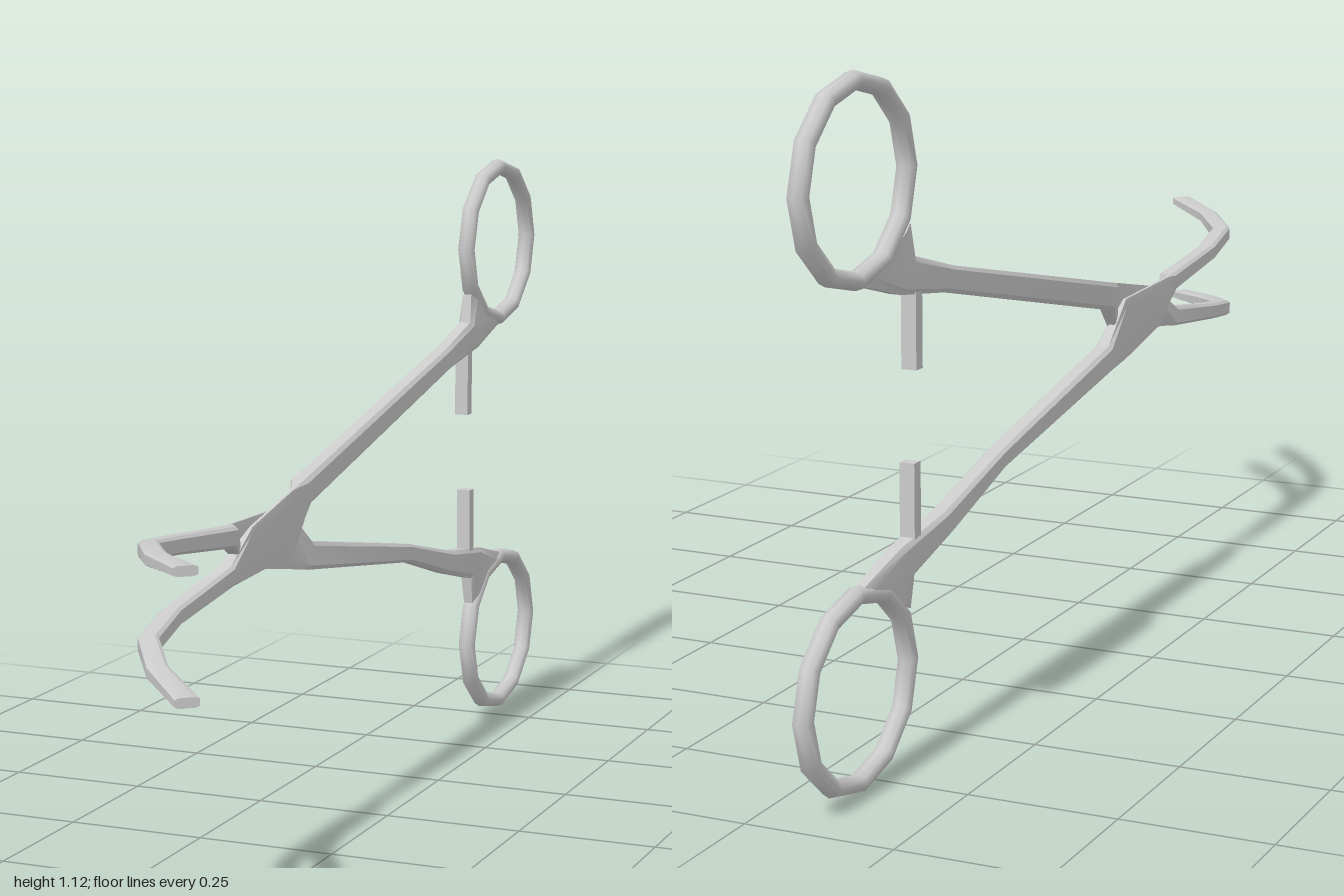
import * as THREE from 'three';
import { toCreasedNormals } from 'three/addons/utils/BufferGeometryUtils.js';

const material = new THREE.MeshStandardMaterial({ color: 0xcccccc, side: THREE.DoubleSide });

// Reflection between the two halves, about a very slightly tilted centre line
const mirrorY = (y, z) => 1.116 - 0.011 * z - y;

// Chamfered bar outline, counter-clockwise seen from +z (u across, v up)
const OUTLINE = [
  [-0.65, -1], [0.65, -1], [1, -0.7], [1, 0.7],
  [0.65, 1], [-0.65, 1], [-1, 0.7], [-1, -0.7],
];

// Sections from handle to jaw tip:
// [top z, top y, bottom z, bottom y, centre x, half width, turn]
function armSections(plateX, shift, bend) {
  const x = -0.098 + shift;
  return [
    [-0.645, 0.868, -0.80, 0.795, x, 0.013, 0],
    [-0.635, 0.815, -0.68, 0.762, x, 0.016, 0],
    [-0.50, 0.778, -0.53, 0.740, x, 0.017, 0],
    ...(bend ? [[-0.31, 0.717, -0.31, 0.683, x, 0.017, 0]] : []),
    [0.16, 0.636, 0.14, 0.590, x, 0.017, 0],
    // thin half-lap plate at the joint
    [0.21, 0.626, 0.21, 0.516, plateX, 0.004, 0],
    [0.375, 0.592, 0.42, 0.508, plateX, 0.004, 0],
    // curved jaw
    [0.455, 0.540, 0.445, 0.506, x, 0.016, 0],
    [0.65, 0.512, 0.65, 0.482, x, 0.016, 0.09],
    [0.77, 0.494, 0.77, 0.465, -0.079 + shift / 2, 0.0165, 0.38],
    [0.88, 0.478, 0.88, 0.456, -0.008, 0.017, 0.68],
    [0.988, 0.463, 0.988, 0.447, 0.094, 0.019, 0.72],
  ];
}

// Skin a row of bar sections and cap both ends
function loft(sections) {
  const n = OUTLINE.length;
  const pos = [];
  const idx = [];
  for (const [zt, yt, zb, yb, x, hx, turn] of sections) {
    for (const [u, v] of OUTLINE) {
      const t = (v + 1) / 2;
      pos.push(
        x + u * hx * Math.cos(turn),
        yb + (yt - yb) * t,
        zb + (zt - zb) * t - u * hx * Math.sin(turn),
      );
    }
  }
  for (let i = 0; i < sections.length - 1; i++) {
    for (let j = 0; j < n; j++) {
      const a = i * n + j;
      const b = i * n + ((j + 1) % n);
      idx.push(a, b, b + n, a, b + n, a + n);
    }
  }
  const end = (sections.length - 1) * n;
  for (let k = 1; k < n - 1; k++) {
    idx.push(0, k + 1, k, end, end + k, end + k + 1);
  }
  const geo = new THREE.BufferGeometry();
  geo.setAttribute('position', new THREE.Float32BufferAttribute(pos, 3));
  geo.setIndex(idx);
  return toCreasedNormals(geo, 0.5);
}

function makeHalf(name, { mirrored, plateX, shift }) {
  const half = new THREE.Group();
  half.name = name;
  const add = (geo, part) => {
    const mesh = new THREE.Mesh(geo, material);
    mesh.name = part;
    half.add(mesh);
    return mesh;
  };
  const yAt = (y, z) => (mirrored ? mirrorY(y, z) : y);

  // Handle, joint plate and jaw in one continuous bar
  let sections = armSections(plateX, shift, mirrored);
  if (mirrored) {
    sections = sections.map(([zt, yt, zb, yb, ...rest]) =>
      [zb, mirrorY(yb, zb), zt, mirrorY(yt, zt), ...rest]);
  }
  add(loft(sections), 'arm');

  // Oval finger ring
  const ring = new THREE.TorusGeometry(0.172, 0.017, 8, 12);
  ring.scale(1, 0.873, 1);
  ring.rotateY(Math.PI / 2);
  add(ring, 'fingerRing').position.set(-0.098 + shift, yAt(0.955, -0.81), -0.811);

  // Ratchet post pointing at the other handle
  const post = new THREE.BoxGeometry(0.026, 0.15, 0.022);
  add(post, 'ratchetPost').position.set(-0.098 + shift, yAt(0.711, -0.627), -0.627);
  return half;
}

export function createModel() {
  const model = new THREE.Group();
  model.name = 'curvedClamp';
  model.add(
    makeHalf('upperHandleHalf', { mirrored: false, plateX: -0.088, shift: 0 }),
    makeHalf('lowerHandleHalf', { mirrored: true, plateX: -0.105, shift: 0.005 }),
  );
  return model;
}
